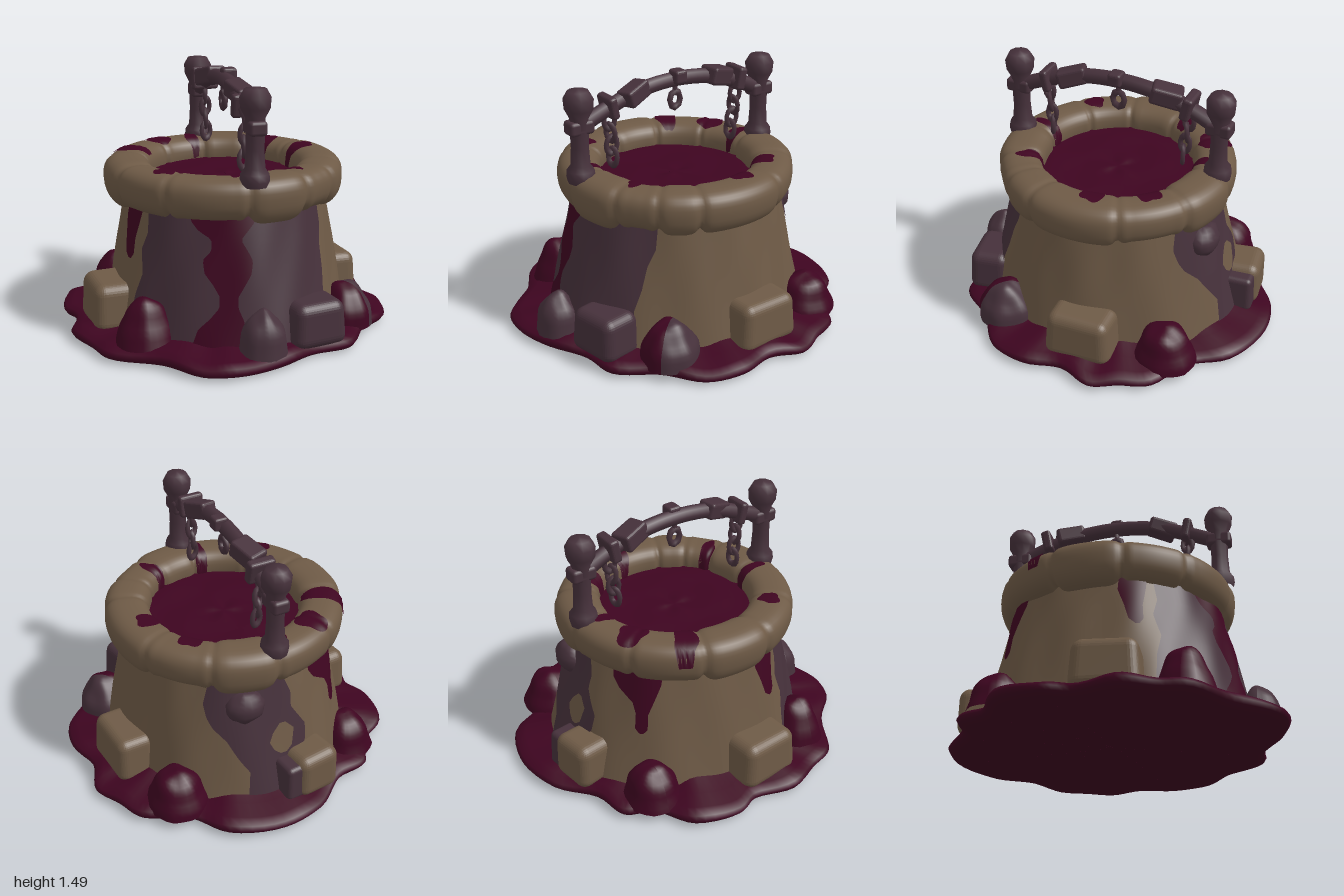
import * as THREE from 'three';
import { mergeVertices } from 'three/addons/utils/BufferGeometryUtils.js';
import { RoundedBoxGeometry } from 'three/addons/geometries/RoundedBoxGeometry.js';

const flat = (name, color) => {
  const m = new THREE.MeshStandardMaterial({ color });
  m.name = name;
  return m;
};
const stone = flat('stone', 0x6e5a46);
const blood = flat('darkRed', 0x3e0520);
const iron = flat('purpleGrey', 0x46313b);

const rad = THREE.MathUtils.degToRad;
const lerp = THREE.MathUtils.lerp;
const polar = (a, r, y) => new THREE.Vector3(r * Math.sin(a), y, r * Math.cos(a));

// Surface from a rule f(u, v), both in 0..1
function grid(nu, nv, f) {
  const pos = [], idx = [];
  for (let j = 0; j <= nv; j++)
    for (let i = 0; i <= nu; i++) pos.push(...f(i / nu, j / nv).toArray());
  for (let j = 0; j < nv; j++)
    for (let i = 0; i < nu; i++) {
      const a = j * (nu + 1) + i, b = a + 1, c = a + nu + 1, d = c + 1;
      idx.push(a, b, c, b, d, c);
    }
  const g = new THREE.BufferGeometry();
  g.setAttribute('position', new THREE.Float32BufferAttribute(pos, 3));
  g.setIndex(idx);
  const merged = mergeVertices(g, 1e-5);
  merged.computeVertexNormals();
  return merged;
}

// Linear lookup in rows of [key, value, value...]
function sample(rows, k) {
  let i = 0;
  while (i < rows.length - 2 && k > rows[i + 1][0]) i++;
  const [p, q] = [rows[i], rows[i + 1]];
  const t = THREE.MathUtils.clamp((k - p[0]) / (q[0] - p[0]), 0, 1);
  return p.map((n, c) => lerp(n, q[c], t));
}

// Flared, uneven well wall; wider towards front and back
function wall(a, y, off = 0) {
  const c = Math.cos(a) ** 2;
  const rough = 0.008 * Math.sin(5 * a + 1) + 0.004 * Math.sin(11 * a + 4 * y) + 0.003 * Math.sin(15 * a - 9 * y);
  return polar(a, lerp(0.715 - 0.16 * y, 0.8 - 0.24 * y, c) + rough + off, y);
}

// Ring of rounded capstones, each a little different, pinched at the joints
const joints = [-110, -75, -43, -3, 27, 48, 68, 114, 148, 180, 215, 250].map(rad);
function rim(a, t, off = 0) {
  let pinch = 0, size = 0;
  for (let i = 0; i < joints.length - 1; i++) {
    const [from, to] = [joints[i], joints[i + 1]];
    const k = (((a - from) % 6.28318531) + 6.28318531) % 6.28318531;
    if (k > to - from) continue;
    const edge = Math.min(k, to - from - k);
    pinch = Math.exp(-((edge / 0.035) ** 2));
    size = Math.sin(i * 2.4 + 1) * Math.min(1, edge / 0.12);
  }
  const sq = (n) => Math.sign(n) * Math.abs(n) ** 0.76;
  const [c, s] = [Math.cos(t), Math.sin(t)];
  const w = 0.129 + 0.009 * size - 0.014 * pinch + off;
  const h = s > 0 ? 0.112 + 0.006 * size - 0.007 * pinch + off : 0.135 + 0.022 * size - 0.03 * pinch + off;
  return polar(a, 0.565 + w * sq(c) + 0.012 * Math.min(0, s) * c, 0.88 + h * sq(s));
}

// Push vertices about smoothly so that a shape looks hewn
function roughen(g, amount, seed) {
  const p = g.attributes.position, v = new THREE.Vector3();
  for (let i = 0; i < p.count; i++) {
    v.fromBufferAttribute(p, i);
    const { x, y, z } = v;
    v.multiplyScalar(1 + amount * (Math.sin(9 * x + seed) + Math.sin(11 * y + 2 * seed) + Math.sin(8 * z + 3 * seed)));
    p.setXYZ(i, v.x, v.y, v.z);
  }
  g.computeVertexNormals();
  return g;
}

export function createModel() {
  const model = new THREE.Group();
  const add = (name, geo, mat, x = 0, y = 0, z = 0) => {
    const m = new THREE.Mesh(geo, mat);
    m.name = name;
    m.position.set(x, y, z);
    model.add(m);
    return m;
  };

  // Spilled puddle with a lobed, uneven edge
  const outline = new THREE.CatmullRomCurve3([
    [0.11, -1], [0.41, -0.9], [0.56, -0.69], [0.8, -0.57], [0.88, -0.4], [0.95, -0.24], [0.89, -0.04], [0.94, 0.18],
    [0.88, 0.4], [0.68, 0.57], [0.52, 0.78], [0.3, 0.81], [0.08, 0.93], [-0.2, 0.99], [-0.37, 0.94], [-0.55, 0.74],
    [-0.81, 0.57], [-0.87, 0.4], [-0.95, 0.2], [-0.89, -0.04], [-0.94, -0.19], [-0.87, -0.45], [-0.66, -0.58],
    [-0.58, -0.74], [-0.37, -0.79], [-0.15, -0.95],
  ].map(([x, z]) => new THREE.Vector3(x, 0, z)), true);
  const section = [[0, 0, 0.01], [1, 0.93, 0], [2, 0.985, 0.02], [3, 1, 0.042], [4, 0.985, 0.065], [5, 0.93, 0.08], [6, 0.83, 0.09], [7, 0.68, 0.12]];
  add('puddle', grid(130, 7, (u, v) => {
    const [, s, y] = sample(section, v * 7);
    const p = outline.getPoint((1 - u) % 1).multiplyScalar(s);
    p.y = y * (1 + 0.16 * Math.sin(u * 2 * Math.PI * 13 + 1) * Math.sin(u * 2 * Math.PI * 4));
    return p;
  }), blood);

  // Well wall and its stains
  add('wall', grid(160, 24, (u, v) => wall(u * 2 * Math.PI, 0.04 + 0.8 * v)), stone);
  const stain = (name, mat, off, rows) => add(name, grid(40, 40, (u, v) => {
    const [y, a0, a1] = sample(rows, lerp(rows[0][0], rows.at(-1)[0], v));
    return wall(rad(lerp(a0, a1, u)), y, off);
  }), mat);
  stain('frontStain', iron, 0.005, [[0.06, -62, 38], [0.3, -60, 37], [0.42, -57, 40], [0.55, -60, 42], [0.65, -57, 46], [0.82, -59, 47]]);
  stain('frontSpill', blood, 0.009, [[0.06, -29, -5], [0.18, -26, -6], [0.24, -21, -7], [0.3, -17, -9], [0.36, -17, -9],
    [0.42, -20, -6], [0.48, -24, -3], [0.55, -25, -2], [0.6, -21, -4], [0.66, -21, -7], [0.7, -28, -4], [0.75, -32, 0], [0.82, -33, 2]]);
  stain('backStain', iron, 0.005, [[0.06, 164, 189], [0.25, 165, 189], [0.34, 160, 194], [0.44, 155, 195], [0.52, 148, 191], [0.58, 145, 188], [0.66, 143, 189], [0.82, 146, 184]]);
  stain('backGap', stone, 0.009, [[0.32, 180, 183], [0.35, 177, 186], [0.4, 175, 187], [0.45, 177, 188], [0.5, 181, 184]]);
  stain('backDrip', blood, 0.007, [[0.42, 219, 221], [0.45, 217, 223], [0.54, 217, 223], [0.6, 215, 225], [0.66, 207, 227], [0.72, 203, 229], [0.82, 202, 230]]);
  stain('sideDrip', blood, 0.007, [[0.48, -69, -67], [0.51, -72, -65], [0.6, -74, -65], [0.7, -77, -63], [0.82, -76, -61]]);

  // Capstones with splashes on top: x, z, half width around the ring, half width across it
  add('capstones', grid(264, 32, (u, v) => rim(u * 2 * Math.PI, v * 2 * Math.PI)), stone);
  const ringAngle = (r) => {
    const c = (r - 0.565) / 0.129;
    return c < -1 ? Math.PI - 1 - c : Math.acos(Math.sign(c) * Math.min(1, Math.abs(c)) ** 1.32);
  };
  [[-0.3, -0.48, 0.08, 0.1], [-0.51, -0.28, 0.065, 0.14], [-0.43, 0.36, 0.06, 0.06], [0.36, -0.34, 0.065, 0.095], [0.5, -0.08, 0.065, 0.085],
    [0.25, 0.41, 0.04, 0.11], [-0.075, 0.48, 0.035, 0.11], [-0.07, -0.5, 0.04, 0.08]].forEach(([x, z, wide, deep], k) => {
    const a = Math.atan2(x, z), r = Math.hypot(x, z);
    add('splash', grid(32, 8, (u, v) => {
      const phi = u * 2 * Math.PI;
      const rho = (1 - v) * (1 + 0.1 * Math.sin(3 * phi + k) + 0.07 * Math.sin(5 * phi + 2 * k));
      return rim(a + wide / r * rho * Math.cos(phi), ringAngle(r - deep * rho * Math.sin(phi)), 0.006);
    }), blood);
  });

  // Liquid filling the well
  add('liquid', grid(48, 8, (u, v) => polar(u * 2 * Math.PI, 0.48 * (1 - v), 0.865 + 0.006 * Math.sin(v * 9) * Math.sin(u * 6 * Math.PI))), blood);

  // Squared stones around the foot, a little wider at the bottom
  const block = (mat, x, y, z, w, h, d, turn, seed) => {
    const g = roughen(new RoundedBoxGeometry(w, h, d, 4, Math.min(w, h, d) * 0.24), 0.02, seed);
    const p = g.attributes.position;
    for (let i = 0; i < p.count; i++) {
      const k = 1 - 0.3 * p.getY(i);
      p.setX(i, p.getX(i) * k).setZ(i, p.getZ(i) * k);
    }
    g.computeVertexNormals();
    add('footBlock', g, mat, x, y, z).rotation.y = turn;
  };
  block(stone, -0.71, 0.19, 0.11, 0.25, 0.28, 0.36, 0.08, 1);
  block(stone, 0.7, 0.19, -0.1, 0.24, 0.28, 0.38, 0.05, 2);
  block(stone, -0.17, 0.19, -0.74, 0.27, 0.27, 0.25, 0.15, 3);
  block(iron, -0.03, 0.18, -0.76, 0.13, 0.23, 0.21, 0.1, 4);
  block(iron, 0.32, 0.18, 0.69, 0.32, 0.26, 0.25, 0.2, 5);

  // Boulders and congealed mounds: domes, tapering by the given amount
  const dome = (name, mat, x, z, rx, height, rz, taper, seed, start = 0, sweep = 2 * Math.PI) => {
    const g = new THREE.SphereGeometry(1, 24, 12, start, sweep, 0, Math.PI / 2);
    const p = g.attributes.position;
    for (let i = 0; i < p.count; i++) {
      const k = 1 - taper * Math.sin(p.getY(i) * Math.PI);
      p.setXYZ(i, p.getX(i) * k, p.getY(i), p.getZ(i) * k);
    }
    roughen(g, 0.02, seed).scale(rx, height, rz);
    add(name, g, mat, x, 0.05, z);
  };
  dome('boulder', iron, 0, 0.81, 0.135, 0.26, 0.13, 0, 1);
  dome('mound', blood, -0.58, 0.49, 0.18, 0.27, 0.17, 0.14, 2);
  dome('mound', blood, 0.57, -0.55, 0.18, 0.23, 0.18, 0.08, 3);
  dome('mound', blood, -0.55, -0.53, 0.17, 0.23, 0.17, 0.08, 4);
  dome('mound', blood, 0.61, 0.45, 0.16, 0.24, 0.17, 0, 5, rad(-50), Math.PI);
  dome('mound', iron, 0.61, 0.45, 0.16, 0.24, 0.17, 0, 5, rad(130), Math.PI);
  add('wallLump', roughen(new THREE.SphereGeometry(1, 16, 12), 0.03, 6).scale(0.115, 0.1, 0.1), iron, 0.17, 0.64, -0.6);

  // Knobbed posts with brackets for the arch
  const profile = [[0.075, 0.95], [0.082, 0.98], [0.078, 1.02], [0.056, 1.05], [0.05, 1.15], [0.054, 1.32], [0.08, 1.37], [0.085, 1.43], [0.06, 1.475], [0, 1.485]]
    .map(([r, y]) => new THREE.Vector2(r, y));
  for (const z of [0.63, -0.61]) {
    add('post', new THREE.LatheGeometry(profile, 10), iron, 0, 0, z);
    add('bracket', new RoundedBoxGeometry(0.1, 0.08, 0.15, 2, 0.02), iron, 0, 1.27, z);
  }

  // Arched bar with lumpy clasps
  const arch = new THREE.CatmullRomCurve3([[0.62, 1.27], [0.45, 1.34], [0.25, 1.405], [0, 1.43], [-0.25, 1.405], [-0.45, 1.34], [-0.6, 1.27]]
    .map(([z, y]) => new THREE.Vector3(0, y, z)));
  add('arch', new THREE.TubeGeometry(arch, 28, 0.045, 8), iron);
  [[0.01, 1.4, 0.28, 0.11, 0.1, 0.17, 0.3, 0.3], [0, 1.405, -0.29, 0.12, 0.1, 0.17, -0.25, 0.3], [0.03, 1.455, 0, 0.09, 0.08, 0.08, 0, 0],
    [0, 1.35, 0.44, 0.15, 0.13, 0.05, 0.2, 0], [0, 1.37, -0.43, 0.16, 0.14, 0.06, -0.2, 0]]
    .forEach(([x, y, z, w, h, d, tilt, turn], i) =>
      add('clasp', roughen(new RoundedBoxGeometry(w, h, d, 2, 0.018), 0.03, i), iron, x, y, z).rotation.set(tilt, turn, 0));

  // Hanging chains of alternating links
  const chain = (z, lean) => {
    for (let i = 0; i < 4; i++) {
      const link = new THREE.TorusGeometry(0.032, 0.015, 6, 12).scale(1, 1.5, 1);
      const m = add('chainLink', link, iron, 0, 1.27 - i * 0.074, z + lean * i);
      m.rotation.set(0.12 * Math.sin(i * 2), i % 2 ? 0.35 : Math.PI / 2 - 0.2, 0);
    }
  };
  chain(0.44, -0.006);
  chain(-0.43, 0.01);
  const ring = new THREE.TorusGeometry(0.036, 0.018, 6, 8).scale(1, 1.3, 1).rotateY(Math.PI / 2);
  add('middleLink', ring, iron, 0, 1.31, 0);
  add('middleHook', new THREE.CylinderGeometry(0.016, 0.016, 0.08, 6), iron, 0, 1.38, 0);

  return model;
}
